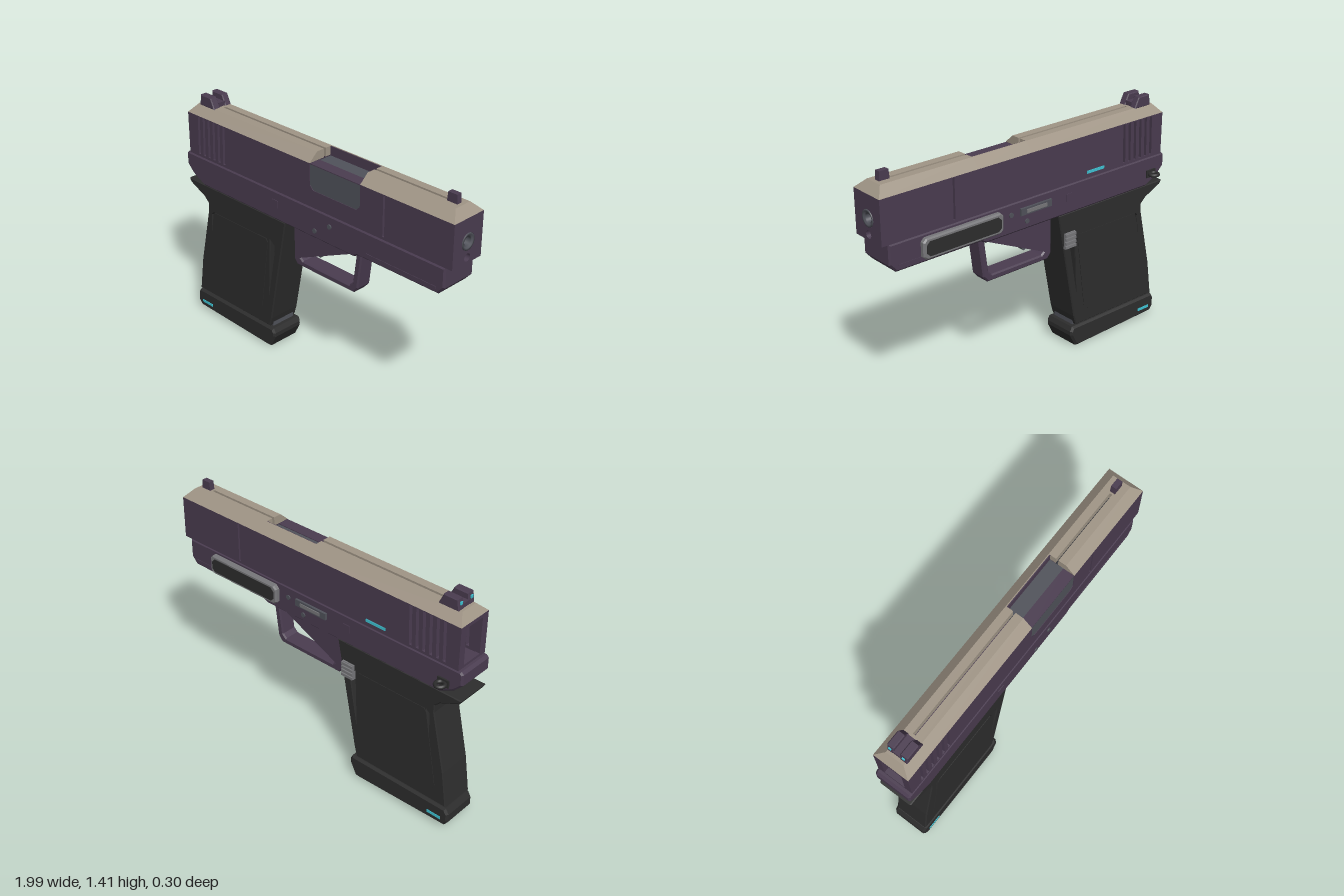
import * as THREE from 'three';

const mat = (name, color) => Object.assign(new THREE.MeshStandardMaterial({ color }), { name });
const M = {
  purple: mat('plum', 0x4a3c50),
  tan: mat('sand', 0xa09586),
  black: mat('charcoal', 0x2d2d2d),
  steel: mat('steel', 0x50525a),
  grey: mat('light grey', 0x77777a),
  cyan: mat('cyan', 0x3fc4d4),
};
const MID = 0.03; // centre plane of the body

export function createModel() {
  const root = new THREE.Group();
  root.name = 'pistol';

  const add = (name, geo, m, parent = root) => {
    const mesh = new THREE.Mesh(geo, m);
    mesh.name = name;
    parent.add(mesh);
    return mesh;
  };
  // box given by its limits
  const box = (name, m, x0, x1, y0, y1, z0, z1) => add(name,
    new THREE.BoxGeometry(x1 - x0, y1 - y0, z1 - z0)
      .translate((x0 + x1) / 2, (y0 + y1) / 2, (z0 + z1) / 2), m);
  const toShape = (pts, holes = []) => {
    const s = new THREE.Shape(pts.map(p => new THREE.Vector2(...p)));
    for (const h of holes) {
      s.holes.push(h instanceof THREE.Path ? h : new THREE.Path(h.map(p => new THREE.Vector2(...p))));
    }
    return s;
  };
  // side profile pushed from z0 to z1, with an inward edge bevel
  const slab = (shape, z0, z1, b = 0) => new THREE.ExtrudeGeometry(shape, {
    depth: z1 - z0 - 2 * b, bevelEnabled: b > 0, bevelSize: b, bevelThickness: b,
    bevelOffset: -b, bevelSegments: 1, curveSegments: 8,
  }).translate(0, 0, z0 + b);
  // end plate: shape in (-z, y), pushed along x
  const plate = (shape, x0, x1) => new THREE.ExtrudeGeometry(shape,
    { depth: x1 - x0, bevelEnabled: false, curveSegments: 20 }).rotateY(Math.PI / 2).translate(x0, 0, 0);
  const rect = (x0, x1, y0, y1) => [[x0, y0], [x1, y0], [x1, y1], [x0, y1]];
  const circle = (x, y, r) => new THREE.Path().absarc(x, y, r, 0, Math.PI * 2, true);

  // slide walls with slanted rear vents and a narrow forward slit
  const slits = [];
  for (let i = 0; i < 6; i++) {
    const x = -0.892 + i * 0.0425;
    slits.push([[x, 1.065], [x + 0.018, 1.065], [x + 0.026, 1.295], [x + 0.008, 1.295]]);
  }
  slits.push(rect(0.537, 0.549, 1.065, 1.295));
  const wall = rect(-0.97, 0.99, 1.05, 1.3);
  const portWall = [[-0.97, 1.05], [0.99, 1.05], [0.99, 1.3], [0.38, 1.3], [0.38, 1.175], [0.355, 1.15],
    [0.045, 1.15], [0.02, 1.175], [0.02, 1.3], [-0.97, 1.3]];
  add('slideRightWall', slab(toShape(portWall, slits), 0.11, 0.14), M.purple);
  add('slideLeftWall', slab(toShape(wall, slits), -0.078, -0.048), M.purple);
  add('slideFront', plate(toShape(rect(-0.11, 0.048, 1.05, 1.3),
    [circle(-MID, 1.17, 0.048), circle(-MID, 1.082, 0.022)]), 0.95, 0.99), M.purple);
  add('slideRear', plate(toShape(rect(-0.11, 0.048, 1.05, 1.3),
    [rect(-0.095, 0.035, 1.065, 1.28)]), -0.97, -0.94), M.purple);

  // chamfered top: boxes whose upper corners are pulled inward
  const cap = (x0, x1, z0, z1) => {
    const g = box('slideTop', M.tan, x0, x1, 1.3, 1.35, z0, z1).geometry, p = g.attributes.position;
    for (let i = 0; i < p.count; i++) {
      if (p.getY(i) < 1.33) continue;
      p.setX(i, THREE.MathUtils.clamp(p.getX(i), -0.93, 0.945));
      p.setZ(i, THREE.MathUtils.clamp(p.getZ(i), -0.025, 0.085));
    }
    g.computeVertexNormals();
  };
  for (const [x0, x1] of [[-0.97, 0.02], [0.38, 0.99]]) {
    cap(x0, x1, -0.078, 0.021);
    cap(x0, x1, 0.036, 0.14);
  }
  cap(-0.97, -0.78, 0.021, 0.036);
  cap(0.85, 0.99, 0.021, 0.036);
  cap(0.02, 0.38, -0.078, -0.02);
  box('portInnerWall', M.purple, 0.02, 0.38, 1.295, 1.348, -0.0205, -0.015);

  // chamber block in the port, and barrel
  const hood = [[0.045, 1.15], [0.355, 1.15], [0.38, 1.175], [0.38, 1.295], [0.02, 1.295], [0.02, 1.175]];
  add('chamber', slab(toShape(hood), -0.048, 0.137), M.steel);
  box('chamberEdge', M.purple, 0.021, 0.379, 1.294, 1.299, 0.07, 0.138);
  const barrel = [[0.024, 0.38], [0.04, 0.38], [0.04, 0.95], [0.047, 0.95], [0.047, 0.992], [0.036, 0.992],
    [0.034, 0.985], [0.024, 0.985], [0.022, 0.9], [0, 0.9]].map(p => new THREE.Vector2(...p));
  const tube = add('barrel', new THREE.LatheGeometry(barrel, 28).rotateZ(-Math.PI / 2)
    .translate(0, 1.17, MID), M.steel);
  tube.material = M.steel;

  // sights
  const rear = [[-0.915, 1.345], [-0.79, 1.345], [-0.82, 1.41], [-0.905, 1.41]];
  for (const [z0, z1] of [[0.05, 0.095], [-0.032, 0.01]]) {
    add('rearSightPost', slab(toShape(rear), z0, z1, 0.005), M.purple);
    const zc = (z0 + z1) / 2;
    box('rearSightDot', M.cyan, -0.915, -0.908, 1.378, 1.394, zc - 0.008, zc + 0.008);
  }
  box('rearSightBase', M.purple, -0.912, -0.8, 1.345, 1.375, 0.005, 0.055);
  add('frontSight', slab(toShape([[0.86, 1.345], [0.925, 1.345], [0.92, 1.4], [0.865, 1.4]]), 0.014, 0.046), M.purple);

  // frame
  const frame = [[-1, 1.035], [-1, 0.97], [-0.95, 0.92], [-0.86, 0.873], [0.34, 0.873], [0.37, 0.89],
    [0.91, 0.89], [0.95, 0.935], [0.95, 1.05], [-0.985, 1.05]];
  add('frame', slab(toShape(frame), -0.079, 0.144, 0.01), M.purple);
  for (const z of [0.144, -0.079]) {
    box('frameRail', M.purple, 0.43, 0.9, 0.915, 0.93, z - 0.003, z + 0.003);
    box('framePlate', M.purple, -0.27, -0.225, 0.95, 0.995, z - 0.004, z + 0.004);
    for (const [x, y] of [[0.17, 0.985], [0.06, 0.92]]) {
      add('pin', new THREE.CylinderGeometry(0.014, 0.014, 0.012, 16).rotateX(Math.PI / 2).translate(x, y, z), M.steel);
    }
  }

  // trigger guard and trigger
  const guard = [[-0.172, 0.875], [-0.172, 0.635], [-0.145, 0.605], [0.285, 0.605], [0.315, 0.64], [0.345, 0.875]];
  const guardHole = [[-0.122, 0.868], [-0.122, 0.66], [-0.1, 0.642], [0.255, 0.642], [0.278, 0.665], [0.305, 0.868]];
  add('triggerGuard', slab(toShape(guard, [guardHole]), -0.02, 0.08, 0.008), M.purple);
  const trig = new THREE.Shape();
  trig.moveTo(-0.005, 0.88);
  trig.quadraticCurveTo(0.045, 0.78, -0.015, 0.705);
  trig.lineTo(0.005, 0.695);
  trig.quadraticCurveTo(0.07, 0.76, 0.045, 0.88);
  add('trigger', slab(trig, 0.01, 0.05), M.steel);

  // grip with slits beside the side panels
  const grip = [[-1, 0.873], [-0.985, 0.848], [-0.87, 0.795], [-0.838, 0.765], [-0.838, 0.72], [-0.92, 0.36],
    [-0.953, 0.14], [-0.328, 0.14], [-0.31, 0.2], [-0.18, 0.873]];
  const gripSlits = [[[-0.804, 0.7], [-0.817, 0.54], [-0.789, 0.715]],
    [[-0.305, 0.72], [-0.325, 0.355], [-0.275, 0.66], [-0.277, 0.695]]];
  add('grip', slab(toShape(grip, gripSlits), -0.07, 0.136, 0.006), M.black);
  const panel = [[-0.775, 0.72], [-0.79, 0.7], [-0.873, 0.25], [-0.86, 0.22], [-0.42, 0.22], [-0.385, 0.25],
    [-0.325, 0.7], [-0.335, 0.72]];
  for (const z of [0.133, -0.073]) add('gripPanel', slab(toShape(panel), z, z + 0.006), M.black);

  // magazine and its base
  box('magazine', M.steel, -0.88, -0.322, 0.12, 0.18, -0.045, 0.11);
  const base = [[-0.975, 0.1], [-0.955, 0.133], [-0.3, 0.133], [-0.285, 0.105], [-0.285, 0.08], [-0.325, 0.003],
    [-0.35, 0], [-0.95, 0.016], [-0.975, 0.05]];
  add('magazineBase', slab(toShape(base), -0.077, 0.14, 0.012), M.black);
  for (const z of [0.14, -0.077]) box('baseStripe', M.cyan, -0.93, -0.84, 0.05, 0.067, z - 0.003, z + 0.003);

  // controls on the left side
  const long = (i) => [[0.24 + i, 0.93 + i], [0.26 + i, 0.912 + i], [0.74 - i, 0.912 + i], [0.76 - i, 0.93 + i],
    [0.76 - i, 1.01 - i], [0.74 - i, 1.03 - i], [0.26 + i, 1.03 - i], [0.24 + i, 1.01 - i]];
  add('sidePanelFrame', slab(toShape(long(0)), -0.106, -0.07, 0.008), M.grey);
  add('sidePanelInset', slab(toShape(long(0.018)), -0.109, -0.102), M.black);
  box('slideCatch', M.steel, -0.11, 0.11, 0.965, 1.005, -0.092, -0.075);
  box('slideCatchTab', M.grey, -0.07, 0.07, 0.975, 0.995, -0.097, -0.09);
  box('slideStripe', M.cyan, -0.51, -0.38, 1.075, 1.092, -0.081, -0.075);
  box('magazineRelease', M.grey, -0.3, -0.222, 0.66, 0.755, -0.08, -0.06);
  for (let i = 0; i < 4; i++) {
    box('releaseRib', M.grey, -0.3, -0.222, 0.664 + i * 0.024, 0.68 + i * 0.024, -0.089, -0.078);
  }

  // lanyard loop
  box('loopBase', M.black, -0.925, -0.855, 0.925, 0.97, -0.088, -0.075);
  add('lanyardLoop', new THREE.TorusGeometry(0.025, 0.011, 8, 20).rotateX(Math.PI / 2)
    .translate(-0.89, 0.948, -0.109), M.black);

  return root;
}
